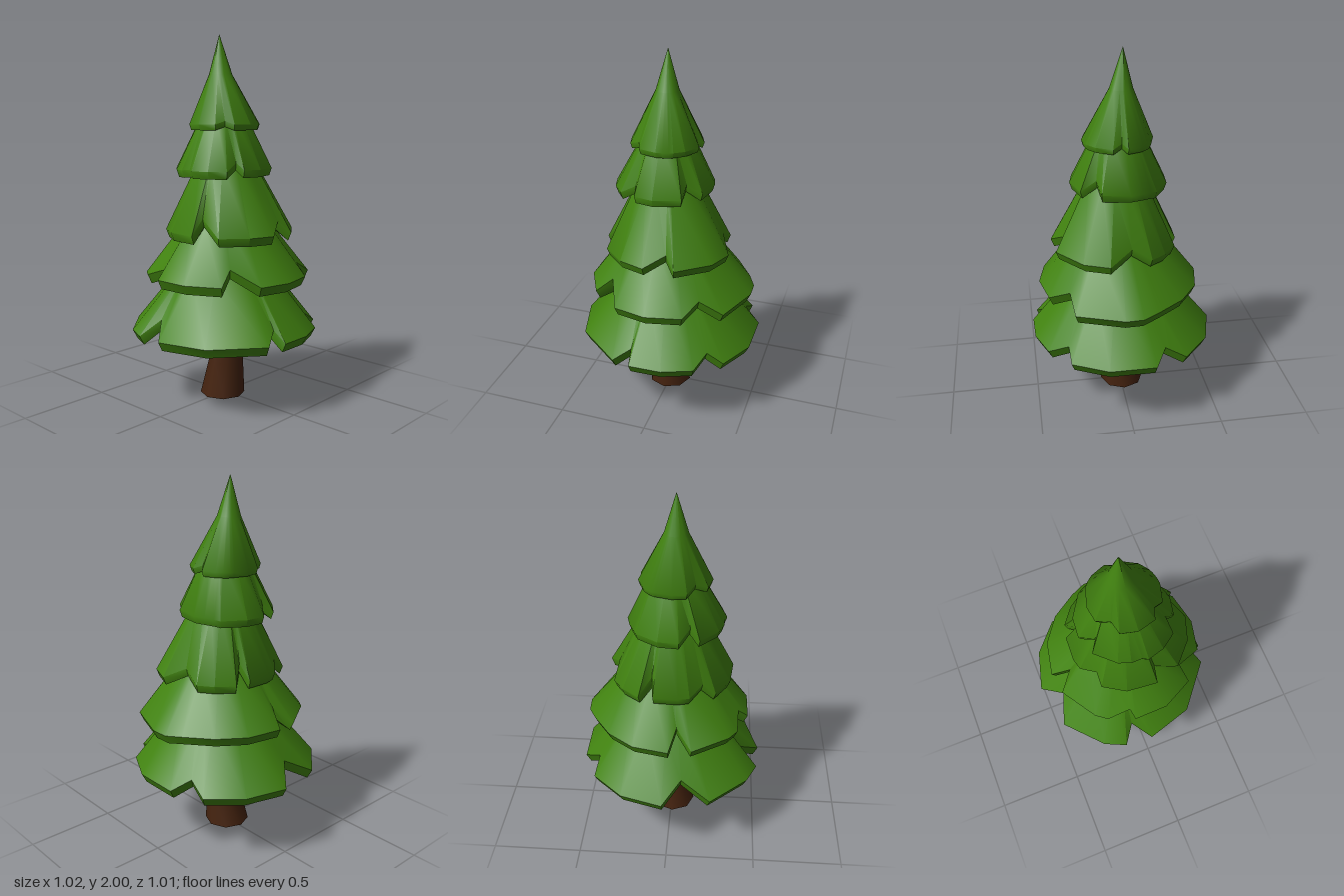
import * as THREE from 'three';
import { toCreasedNormals } from 'three/addons/utils/BufferGeometryUtils.js';

// Skin a list of equal-length rings, ordered from top to bottom
function loft(rings, crease) {
  const n = rings[0].length;
  const index = [];
  for (let r = 0; r < rings.length - 1; r++) {
    for (let i = 0; i < n; i++) {
      const j = (i + 1) % n;
      const up = r * n, low = up + n;
      index.push(low + i, up + i, up + j, low + i, up + j, low + j);
    }
  }
  const geo = new THREE.BufferGeometry();
  geo.setAttribute('position', new THREE.Float32BufferAttribute(rings.flat(2), 3));
  geo.setIndex(index);
  return toCreasedNormals(geo, crease);
}

// One ring of points at the given angles; ring = [x, z, radius, y]
const circle = (angles, [x, z, r, y]) => angles.map((a) => [x + r * Math.cos(a), y, z + r * Math.sin(a)]);

// Ragged rim as [radius, angle]: each leaf starts at a notch and has three corners
// leaf = [start angle in degrees, reach, notch radius, then corners as fractions of its sweep]
function leafRim(leaves) {
  return leaves.flatMap(([start, reach, notch, ...corners], i) => {
    const end = i + 1 < leaves.length ? leaves[i + 1][0] : leaves[0][0] + 360;
    return [0, ...corners].map((t) => [
      t === 0 ? notch : reach,
      THREE.MathUtils.degToRad(start + t * (end - start)),
    ]);
  });
}

// A skirt of leaves: rings above the rim, the rim itself, and rings of the underside
function branchTier({ centre: [cx, cz], rim, slope, lip, above, below, leaves }) {
  const outline = leafRim(leaves);
  const angles = outline.map(([, a]) => a);
  const reach = Math.max(...outline.map(([r]) => r));
  // Notches sit further up the slope than the leaf tips
  const edge = (scale, lift) => outline.map(([r, a]) => [
    cx + r * scale * Math.cos(a),
    rim + lift + slope * Math.max(0, reach - r - 0.01),
    cz + r * scale * Math.sin(a),
  ]);
  return loft([
    ...above.map((ring) => circle(angles, ring)),
    edge(1, lip),
    edge(0.95, 0),
    ...below.map((ring) => circle(angles, ring)),
  ], 0.85);
}

// Flared, slightly leaning trunk
function trunkGeometry() {
  const angles = Array.from({ length: 8 }, (_, i) => (i / 8) * Math.PI * 2);
  const sections = [[0.01, 0, 0.065, 0.7], [0.012, -0.002, 0.082, 0.4], [0.01, 0.002, 0.096, 0.2],
    [-0.01, 0.01, 0.125, 0], [-0.01, 0.01, 0.001, 0]];
  return loft(sections.map((section) => circle(angles, section)), 0.9);
}

export function createModel() {
  const needles = new THREE.MeshStandardMaterial({ color: 0x418210 });
  needles.name = 'needle green';
  const bark = new THREE.MeshStandardMaterial({ color: 0x45230f });
  bark.name = 'bark brown';

  const tree = new THREE.Group();
  tree.name = 'pineTree';
  const add = (name, geometry, material) => {
    const mesh = new THREE.Mesh(geometry, material);
    mesh.name = name;
    tree.add(mesh);
  };

  add('trunk', trunkGeometry(), bark);

  // Rings where the underside of one tier meets the top of the next
  const lowJoint = [0, 0, 0.265, 0.72];
  const middleJoint = [0.015, 0, 0.235, 0.99];
  const highJoint = [0.02, 0.005, 0.165, 1.31];
  const crownJoint = [0.005, 0.017, 0.13, 1.56];

  // Branch tiers from the ground up
  add('bottomBranches', branchTier({
    centre: [0, 0], rim: 0.355, slope: 0.85, lip: 0.05,
    above: [lowJoint], below: [[0, 0, 0.25, 0.6], [0.01, 0, 0.065, 0.69]],
    leaves: [[-43, 0.51, 0.45, 0.22, 0.58, 0.95], [12, 0.512, 0.44, 0.1, 0.51, 0.86],
      [102, 0.525, 0.415, 0.08, 0.3, 0.76], [169, 0.52, 0.41, 0.18, 0.53, 0.86],
      [245, 0.513, 0.445, 0.15, 0.55, 0.89]],
  }), needles);
  add('lowerBranches', branchTier({
    centre: [0.01, 0], rim: 0.645, slope: 0.9, lip: 0.05,
    above: [middleJoint], below: [lowJoint],
    leaves: [[-40, 0.45, 0.39, 0.18, 0.48, 0.76], [44, 0.445, 0.36, 0.1, 0.53, 0.94],
      [105, 0.445, 0.395, 0.25, 0.4, 0.86], [172, 0.445, 0.345, 0.09, 0.42, 0.71],
      [250, 0.474, 0.453, 0.17, 0.34, 0.81]],
  }), needles);
  add('middleBranches', branchTier({
    centre: [0.03, 0], rim: 0.905, slope: 1.2, lip: 0.045,
    above: [highJoint], below: [middleJoint],
    leaves: [[-100, 0.36, 0.294, 0.25, 0.52, 0.92], [-14, 0.355, 0.298, 0.22, 0.48, 0.77],
      [77, 0.348, 0.277, 0.06, 0.5, 0.86], [143, 0.335, 0.3, 0.3, 0.49, 0.9],
      [200, 0.345, 0.266, 0.13, 0.45, 0.72]],
  }), needles);
  add('upperBranches', branchTier({
    centre: [0.01, 0.02], rim: 1.245, slope: 0.9, lip: 0.04,
    above: [crownJoint], below: [highJoint],
    leaves: [[-48, 0.262, 0.2, 0.18, 0.61, 0.91], [30, 0.278, 0.22, 0.23, 0.57, 0.9],
      [90, 0.268, 0.262, 0.2, 0.43, 0.9], [155, 0.266, 0.21, 0.22, 0.52, 0.9],
      [236, 0.257, 0.26, 0.15, 0.35, 0.8]],
  }), needles);
  add('crown', branchTier({
    centre: [0.01, 0.02], rim: 1.495, slope: 0.8, lip: 0.03,
    above: [[-0.02, 0.025, 0.001, 2], [-0.01, 0.025, 0.063, 1.79]], below: [crownJoint],
    leaves: [[-90, 0.194, 0.16, 0.21, 0.63, 0.9], [-20, 0.193, 0.193, 0.15, 0.31, 0.77],
      [45, 0.196, 0.163, 0.17, 0.5, 0.81], [135, 0.19, 0.155, 0.3, 0.6, 0.92],
      [215, 0.196, 0.196, 0.2, 0.4, 0.84]],
  }), needles);

  return tree;
}
